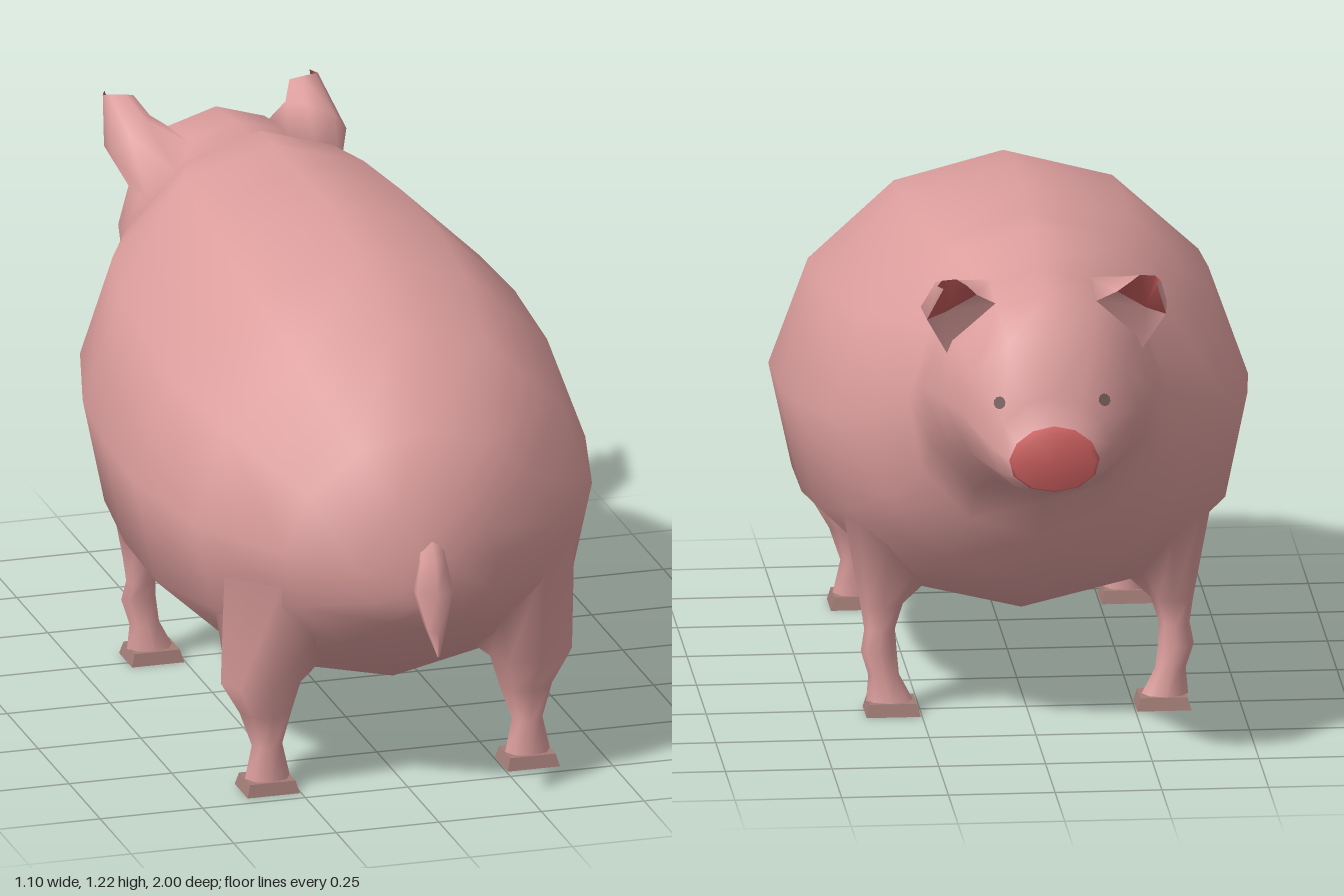
import * as THREE from 'three';

const mat = (name, color) => Object.assign(new THREE.MeshStandardMaterial({ color }), { name });
const V = (x, y, z) => new THREE.Vector3(x, y, z);

// Indexed geometry with smooth normals; flip reverses the corner order
function surface(points, index, flip = false) {
  const g = new THREE.BufferGeometry();
  g.setAttribute('position', new THREE.Float32BufferAttribute(points.flat(), 3));
  const idx = [...index];
  if (flip) for (let i = 0; i < idx.length; i += 3) [idx[i], idx[i + 2]] = [idx[i + 2], idx[i]];
  g.setIndex(idx);
  g.computeVertexNormals();
  return g;
}

// Skins a list of equal point rows
function loft(rows, closed = true, flip = false) {
  const n = rows[0].length, index = [];
  for (let i = 0; i < rows.length - 1; i++) {
    for (let j = 0; j < (closed ? n : n - 1); j++) {
      const k = (j + 1) % n, a = i * n + j, b = i * n + k;
      index.push(a, b, b + n, a, b + n, a + n);
    }
  }
  return surface(rows.flat(), index, flip);
}

// Triangles fanning from point 0 over the points that follow
const fan = (points, flip) =>
  surface(points, points.slice(2).flatMap((_, i) => [0, i + 1, i + 2]), flip);

// Upright ring across the body, slightly fuller below; top and bottom may sit at different z
function bodyRing([zTop, zBottom, top, bottom, w], n = 12) {
  return Array.from({ length: n }, (_, i) => {
    const t = Math.PI / 2 + (i / n) * Math.PI * 2, s = Math.sin(t), f = (s + 1) / 2;
    return [w * Math.cos(t) * (1 - 0.08 * s), bottom + (top - bottom) * f, zBottom + (zTop - zBottom) * f];
  });
}

// Level ring for legs and tail
function levelRing([y, cx, cz, rx, rz], n = 8) {
  return Array.from({ length: n }, (_, i) => {
    const t = (i / n) * Math.PI * 2;
    return [cx + rx * Math.sin(t), y, cz + rz * Math.cos(t)];
  });
}

// First point of a mesh met by a ray
const project = (mesh, from, dir) => new THREE.Raycaster(from, dir.normalize()).intersectObject(mesh)[0];

// Gives a row of vertices the normals of the surface it joins
function blend(geometry, start, hits) {
  hits.forEach((h, i) => geometry.attributes.normal.setXYZ(start + i, h.normal.x, h.normal.y, h.normal.z));
  return geometry;
}

export function createModel() {
  const group = new THREE.Group();
  const skin = mat('pinkSkin', 0xdc9e9d);
  const red = mat('rosyRed', 0xc65c5c);
  const hoofMat = mat('hoofBrown', 0xa27c76);
  const eyeMat = mat('eyeGrey', 0x755a56);
  const add = (name, geometry, material) => {
    const m = new THREE.Mesh(geometry, material);
    m.name = name;
    group.add(m);
    return m;
  };

  // Head and body: zTop, zBottom, top, bottom, half width
  const snoutRim = [-0.975, -0.987, 0.88, 0.724, 0.106];
  const body = add('body', loft([
    snoutRim,
    [-0.94, -0.93, 0.94, 0.70, 0.14],
    [-0.90, -0.80, 1.09, 0.68, 0.21],
    [-0.80, -0.72, 1.15, 0.645, 0.25],
    [-0.64, -0.635, 1.17, 0.60, 0.28],
    [-0.53, -0.60, 1.168, 0.51, 0.305],
    [-0.44, -0.50, 1.215, 0.37, 0.385],
    [-0.33, -0.35, 1.218, 0.275, 0.47],
    [-0.12, -0.12, 1.222, 0.205, 0.53],
    [0.10, 0.10, 1.218, 0.175, 0.55],
    [0.36, 0.36, 1.178, 0.175, 0.55],
    [0.63, 0.63, 1.09, 0.235, 0.485],
    [0.86, 0.80, 0.92, 0.36, 0.325],
    [0.925, 0.91, 0.77, 0.45, 0.17],
    [0.945, 0.94, 0.68, 0.51, 0.07],
    [0.95, 0.95, 0.60, 0.60, 0],
  ].map(r => bodyRing(r))), skin);
  body.updateMatrixWorld(true);

  // Nose: rounded red disc
  add('nose', loft([
    [-1, -1, 0.7975, 0.7975, 0],
    [-1, -1, 0.865, 0.73, 0.095],
    snoutRim,
  ].map(r => bodyRing(r))), red);

  // Tail, from its tip upward into the rump
  add('tail', loft([
    [0.41, 0, 0.997, 0.003, 0.003],
    [0.47, 0, 0.97, 0.024, 0.028],
    [0.56, 0, 0.948, 0.052, 0.045],
    [0.63, 0, 0.94, 0.036, 0.036],
    [0.70, 0, 0.91, 0.03, 0.02],
  ].map(r => levelRing(r, 6))), skin);

  // Leg rings: y, x, z, half width, half depth; the last is laid onto the body
  const legs = {
    frontLeg: [
      [0.028, 0.322, -0.268, 0.055, 0.042],
      [0.09, 0.336, -0.265, 0.036, 0.032],
      [0.15, 0.348, -0.272, 0.042, 0.035],
      [0.20, 0.345, -0.262, 0.036, 0.037],
      [0.26, 0.34, -0.26, 0.05, 0.048],
      [0, 0.335, -0.27, 0.095, 0.085],
    ],
    hindLeg: [
      [0.028, 0.317, 0.665, 0.055, 0.042],
      [0.11, 0.317, 0.662, 0.037, 0.04],
      [0.19, 0.317, 0.655, 0.064, 0.052],
      [0.27, 0.328, 0.657, 0.10, 0.082],
      [0, 0.322, 0.67, 0.135, 0.125],
    ],
  };

  for (const side of [1, -1]) {
    const label = side > 0 ? 'Left' : 'Right';
    for (const [name, rings] of Object.entries(legs)) {
      const rows = rings.map(([y, x, ...r]) => levelRing([y, x * side, ...r]));
      const [, cx, cz] = rings.at(-1);
      // Lay the top row on the belly, drawing in points that pass outside it
      const hits = rows.pop().map(([x, , z]) => {
        for (let f = 1; ; f -= 0.05) {
          const from = V(cx * side + (x - cx * side) * f, 0, cz + (z - cz) * f);
          const hit = project(body, from, V(0, 1, 0));
          if (hit && (hit.point.y < 0.56 || f < 0.4)) return hit;
          if (f < 0) return { point: from.setY(0.4), normal: V(side, 0, 0) };
        }
      });
      rows.push(hits.map(h => h.point.toArray()));
      add(name + label, blend(loft(rows), (rows.length - 1) * 8, hits), skin);
      // Square hoof
      const hoof = new THREE.CylinderGeometry(0.078, 0.09, 0.03, 4).rotateY(Math.PI / 4)
        .scale(1, 1, 0.82).translate(0.317 * side, 0.015, rings[0][2]).toNonIndexed();
      hoof.computeVertexNormals();
      add(name + 'Hoof' + label, hoof, hoofMat);
    }

    // Ear: folded shell rising from the head and leaning forward
    const at = ([x, y, z]) => [x * side, y, z];
    const roots = [[22, -0.72], [28, -0.58], [48, -0.54], [64, -0.60], [62, -0.76]].map(([deg, z]) => {
      const a = THREE.MathUtils.degToRad(deg), d = V(Math.cos(a) * side, Math.sin(a), 0);
      return project(body, V(0, 0.9, z).add(d), d.clone().negate());
    });
    const base = roots.map(h => h.point.toArray());
    const mid = [[0.28, 1.09, -0.775], [0.288, 1.10, -0.70], [0.25, 1.15, -0.67], [0.195, 1.165, -0.71], [0.165, 1.15, -0.785]].map(at);
    const top = [[0.25, 1.19, -0.872], [0.262, 1.19, -0.845], [0.25, 1.197, -0.825], [0.215, 1.197, -0.815], [0.19, 1.185, -0.835]].map(at);
    add('ear' + label, blend(loft([base, mid, top], false, side > 0), 0, roots), skin);
    // Red hollow of the ear, with skin below it
    const hollow = at([0.235, 1.10, -0.75]);
    add('innerEar' + label, fan([hollow, mid[0], ...top, mid[4]], side > 0), red);
    add('earRoot' + label, fan([hollow, mid[4], base[4], base[0], mid[0]], side > 0), skin);

    // Eye: small disc laid on the face
    const look = project(body, V(0.122 * side, 0.925, -2), V(0, 0, 1));
    const eye = add('eye' + label, new THREE.CircleGeometry(0.015, 10), eyeMat);
    eye.position.copy(look.point).addScaledVector(look.face.normal, 0.003);
    eye.quaternion.setFromUnitVectors(V(0, 0, 1), look.face.normal);
  }
  return group;
}
